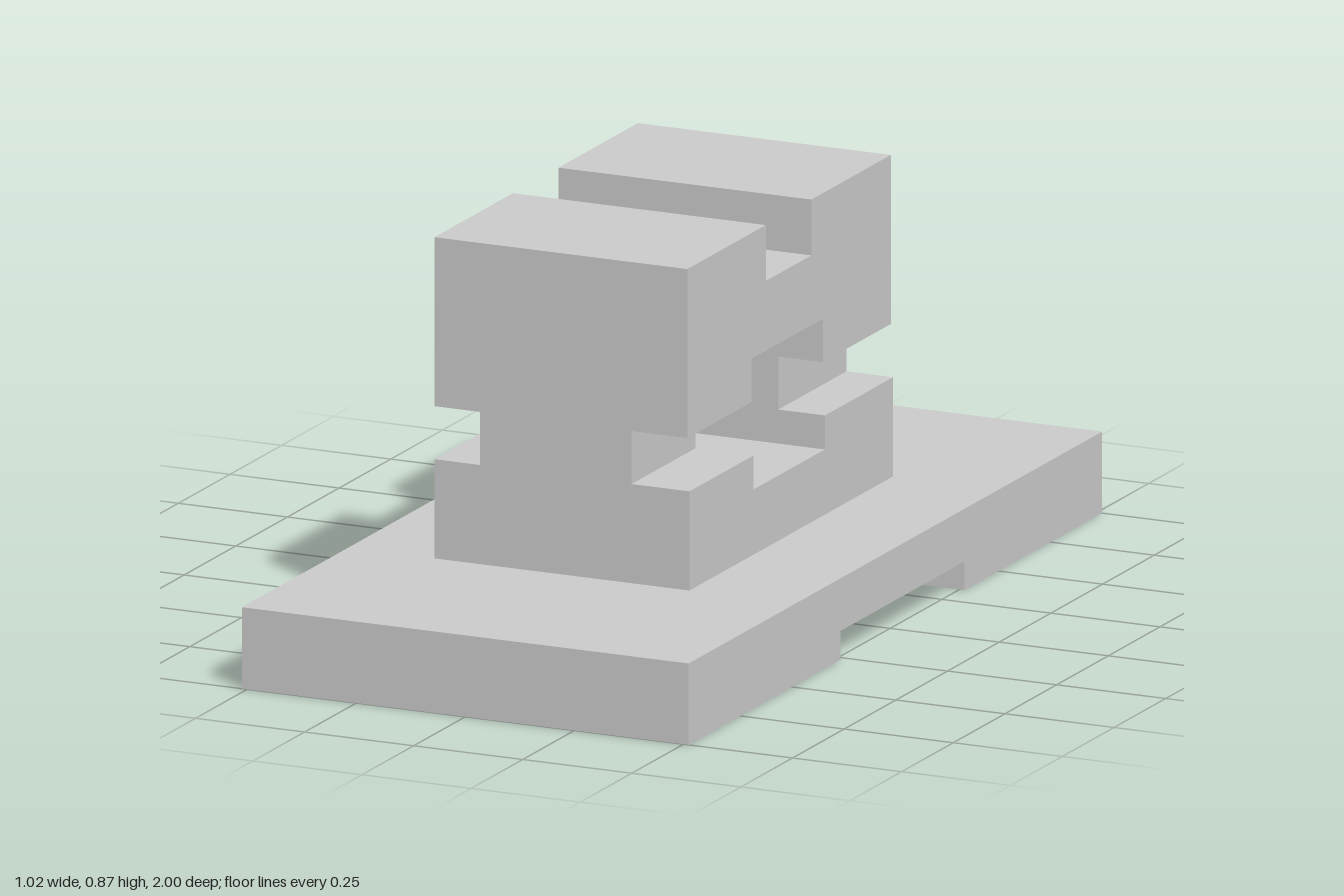
import * as THREE from 'three';

const material = new THREE.MeshStandardMaterial({ color: 0xcccccc, flatShading: true });

// Extrudes a side outline of [z, y] points across the width from x0 to x1
function sidePart(name, points, x0, x1) {
  const shape = new THREE.Shape(points.map(([z, y]) => new THREE.Vector2(z, y)));
  const geometry = new THREE.ExtrudeGeometry(shape, { depth: x1 - x0, bevelEnabled: false });
  geometry.rotateY(-Math.PI / 2).translate(x1, 0, 0);
  const mesh = new THREE.Mesh(geometry, material);
  mesh.name = name;
  return mesh;
}

function boxPart(name, [x0, x1], [y0, y1], [z0, z1]) {
  const mesh = new THREE.Mesh(new THREE.BoxGeometry(x1 - x0, y1 - y0, z1 - z0), material);
  mesh.position.set((x0 + x1) / 2, (y0 + y1) / 2, (z0 + z1) / 2);
  mesh.name = name;
  return mesh;
}

export function createModel() {
  const group = new THREE.Group();
  group.name = 'slottedBlockOnBase';
  const back = -0.5, front = 0.485;       // block ends
  const winBack = -0.17, winFront = 0.175; // window through the block
  const ledge = 0.388, overhang = 0.502;   // side grooves

  // Base plate with a wide channel underneath
  group.add(sidePart('basePlate', [
    [-1, 0], [-0.335, 0], [-0.335, 0.062], [0.265, 0.062], [0.265, 0],
    [1, 0], [1, 0.175], [-1, 0.175],
  ], -0.512, 0.512));

  // Lower block, cut by the bottom of the window
  group.add(sidePart('lowerBlock', [
    [back, 0.175], [front, 0.175], [front, ledge], [winFront, ledge],
    [winFront, 0.315], [winBack, 0.315], [winBack, ledge], [back, ledge],
  ], -0.315, 0.27));

  // Upper block, with the top of the window and the slot across the top
  group.add(sidePart('upperBlock', [
    [back, overhang], [winBack, overhang], [winBack, 0.595], [winFront, 0.595],
    [winFront, overhang], [front, overhang], [front, 0.865], [0.105, 0.865],
    [0.105, 0.745], [-0.115, 0.745], [-0.115, 0.865], [back, 0.865],
  ], -0.315, 0.265));

  // Narrow necks between the side grooves
  group.add(boxPart('frontNeck', [-0.21, 0.137], [ledge, overhang], [winFront, front]));
  group.add(boxPart('backNeck', [-0.213, 0.163], [ledge, overhang], [back, winBack]));
  return group;
}
